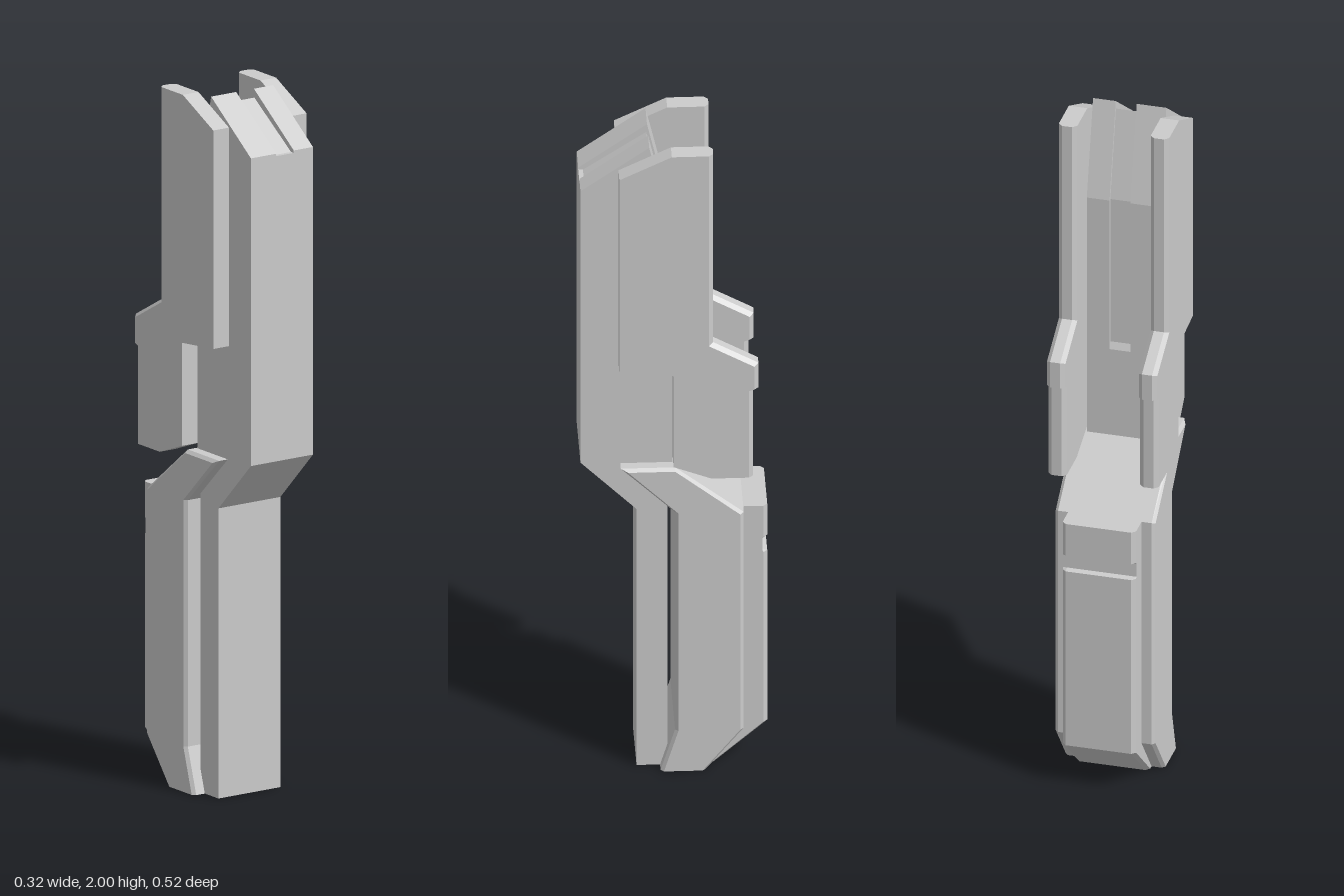
import * as THREE from 'three';

const material = new THREE.MeshStandardMaterial({ color: 0xcccccc, flatShading: true });

// Solid made of side outlines [z, y] stacked along x: layers = [[x, outline], ...] with x rising
function layered(name, layers) {
  const flip = THREE.ShapeUtils.isClockWise(layers[0][1].map(([z, y]) => new THREE.Vector2(z, y)));
  const rings = layers.map(([x, pts]) => {
    const ring = pts.map(([z, y]) => new THREE.Vector3(x, y, z));
    return flip ? ring.reverse() : ring;
  });
  const corners = [];
  const n = rings[0].length;
  for (let k = 0; k < rings.length - 1; k++) {
    for (let i = 0; i < n; i++) {
      const j = (i + 1) % n;
      const a = rings[k][i], b = rings[k][j], c = rings[k + 1][j], d = rings[k + 1][i];
      corners.push(a, d, c, a, c, b);
    }
  }
  const cap = (ring, reverse) => {
    const flat = ring.map((p) => new THREE.Vector2(p.z, p.y));
    for (const [a, b, c] of THREE.ShapeUtils.triangulateShape(flat, [])) {
      corners.push(ring[a], ring[reverse ? c : b], ring[reverse ? b : c]);
    }
  };
  cap(rings[0], false);
  cap(rings[rings.length - 1], true);
  const geometry = new THREE.BufferGeometry().setFromPoints(corners);
  geometry.computeVertexNormals();
  const mesh = new THREE.Mesh(geometry, material);
  mesh.name = name;
  return mesh;
}

// Each outline point is [z, y, dz, dy]; dz and dy move it on the chamfered outer layers
const full = (pts) => pts.map(([z, y]) => [z, y]);
const inset = (pts) => pts.map(([z, y, dz = 0, dy = 0]) => [z + dz, y + dy]);

function chamfered(name, x0, x1, c, pts) {
  return layered(name, [[x0, inset(pts)], [x0 + c, full(pts)], [x1 - c, full(pts)], [x1, inset(pts)]]);
}

export function createModel() {
  const model = new THREE.Group();
  model.name = 'model';

  // Cranked spine, split into two rails with a recessed strip between them
  const foot = [[0.02, 0], [0.105, 0], [0.105, 0.83], [0.26, 0.985]];
  const rail = [...foot, [0.26, 1.865], [0.07, 2], [0.005, 1.72], [0.005, 0.975], [0.02, 0.9]];
  const strip = [...foot, [0.26, 1.858], [0.247, 1.858], [0.072, 1.975], [0.014, 1.72],
    [0.014, 1.27], [0.005, 1.25], [0.005, 0.975], [0.02, 0.9]];
  model.add(
    layered('spineRailRight', [[-0.105, rail], [-0.02, rail]]),
    layered('spineStrip', [[-0.02, strip], [0.04, strip]]),
    layered('spineRailLeft', [[0.04, rail], [0.105, rail]]),
  );

  // Wider lower body with chamfered side edges
  const c = 0.009;
  model.add(chamfered('lowerBody', -0.143, 0.143, c, [
    [0.04, 0, -c], [0, 0.13, -c], [0, 0.835, -c], [0.15, 0.98, -0.02, -c],
    [0, 0.98, 0, -c], [-0.19, 0.83, c, -0.004], [-0.19, 0.13, c], [-0.085, 0, c],
  ]));

  // Back pad with a shallow cross groove
  model.add(chamfered('backPad', -0.105, 0.105, 0.011, [
    [-0.17, 0.83], [-0.257, 0.83, 0.011], [-0.257, 0.73, 0.011], [-0.243, 0.725],
    [-0.243, 0.685], [-0.257, 0.68, 0.011], [-0.257, 0.13, 0.011],
    [-0.11, 0, 0.011], [-0.075, 0], [-0.17, 0.12],
  ]));

  // Stepped side blades, chamfered along their back edges
  const b = 0.012;
  const blade = [
    [0.155, 1.93], [0.155, 1.305], [0.005, 1.29], [0.005, 0.995], [-0.1, 0.955],
    [-0.215, 0.955, b], [-0.215, 1.235, b], [-0.23, 1.24, b], [-0.23, 1.32, b, -0.006],
    [-0.105, 1.39, b, -0.006], [-0.105, 2, b], [0.01, 2],
  ];
  model.add(
    chamfered('sideBladeLeft', 0.105, 0.158, b, blade),
    chamfered('sideBladeRight', -0.158, -0.105, b, blade),
  );
  return model;
}
